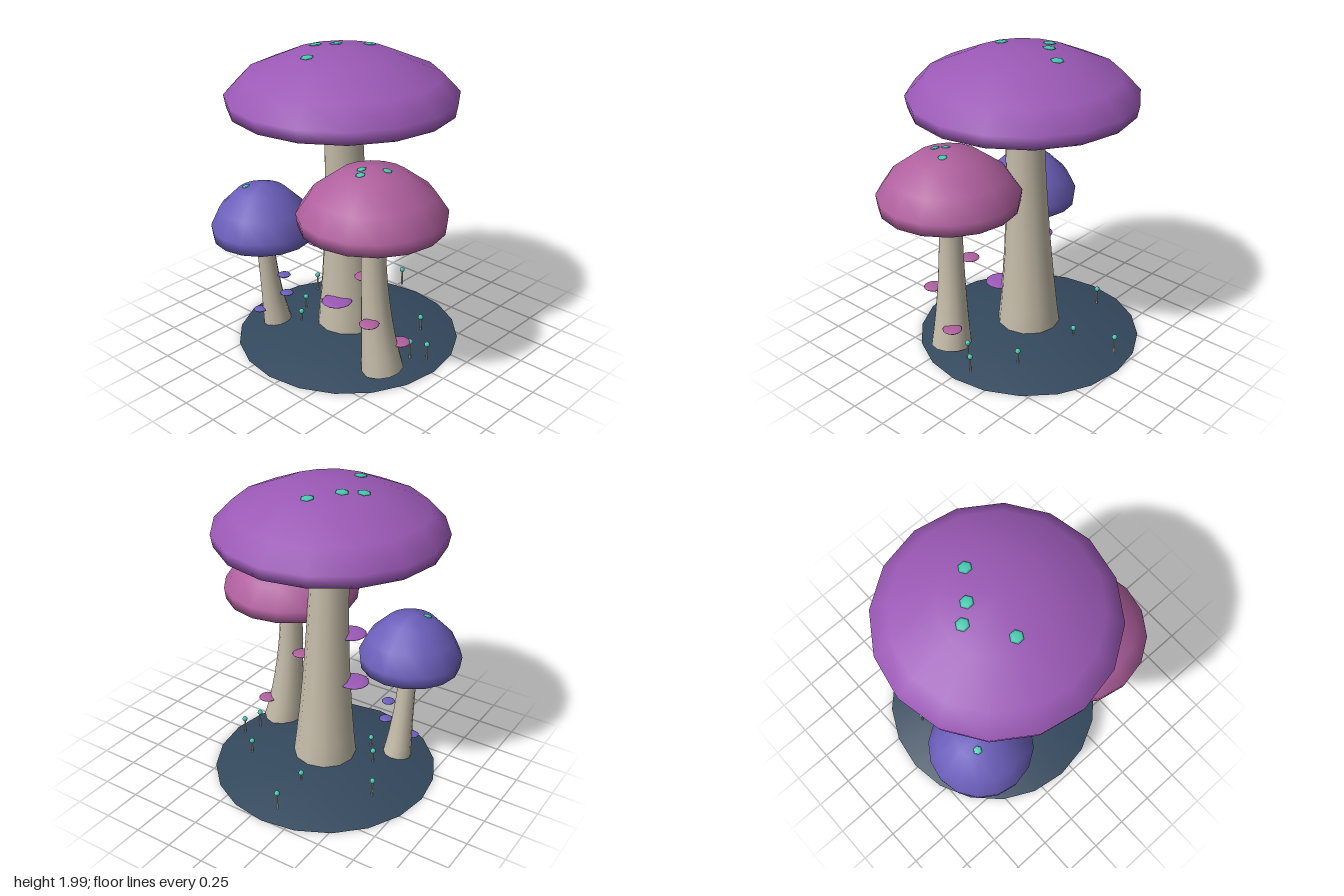
import * as THREE from 'three';
import { mergeVertices } from 'three/addons/utils/BufferGeometryUtils.js';

const mat = (name, color, side = THREE.FrontSide) => {
  const m = new THREE.MeshStandardMaterial({ color, side });
  m.name = name;
  return m;
};

// Weld seams and poles, then compute smooth normals
function smooth(geo) {
  geo.deleteAttribute('uv');
  geo.deleteAttribute('normal');
  const g = mergeVertices(geo, 1e-4);
  g.computeVertexNormals();
  return g;
}

const lathe = (pts, sides) =>
  smooth(new THREE.LatheGeometry(pts.map(([r, y]) => new THREE.Vector2(r, y)), sides));

// Open tapered tube along a gentle bend, flaring toward the base
function stemGeometry(base, bend, top, rBase, rTop) {
  const curve = new THREE.QuadraticBezierCurve3(
    new THREE.Vector3(...base), new THREE.Vector3(...bend), new THREE.Vector3(...top));
  const geo = new THREE.CylinderGeometry(1, 1, 1, 12, 8, true);
  const p = geo.attributes.position;
  for (let i = 0; i < p.count; i++) {
    const t = p.getY(i) + 0.5;
    const c = curve.getPoint(t), d = curve.getTangent(t);
    const r = rTop + (rBase - rTop) * (1 - t) ** 2;
    const ox = p.getX(i) * r, oz = p.getZ(i) * r;
    p.setXYZ(i, c.x + ox, c.y - (d.x * ox + d.z * oz) / d.y, c.z + oz);
  }
  return smooth(geo);
}

// Height and slope of a cap's upper side at a distance from its axis
function capSurface(profile, d) {
  for (let i = profile.length - 1; i > 0; i--) {
    const [r0, y0] = profile[i], [r1, y1] = profile[i - 1];
    if (d <= r1) {
      const slope = (y1 - y0) / (r1 - r0);
      return { y: y0 + slope * (d - r0), slope };
    }
  }
  return { y: profile[0][1], slope: 0 };
}

export function createModel() {
  const model = new THREE.Group();
  model.name = 'mushroomCluster';

  const stemMat = mat('stem cream', 0xc4bba8, THREE.DoubleSide);
  const groundMat = mat('ground slate', 0x34495e, THREE.DoubleSide);
  const tealMat = mat('glow teal', 0x48c9b0);

  const add = (parent, name, geo, material, x = 0, y = 0, z = 0) => {
    const m = new THREE.Mesh(geo, material);
    m.name = name;
    m.position.set(x, y, z);
    parent.add(m);
    return m;
  };

  // Shallow open ground dome
  add(model, 'ground',
    lathe([[0.74, 0], [0.53, 0.062], [0.27, 0.098], [0, 0.108]], 20), groundMat, -0.08, 0, -0.02);

  // Cap profiles run from the underside centre, around the rim, to the top
  const mushrooms = [
    {
      name: 'tallMushroom', material: mat('cap purple', 0x9b59b6), at: [-0.075, 0.03],
      profile: [[0, 1.575], [0.43, 1.605], [0.71, 1.63], [0.725, 1.71], [0.61, 1.83], [0.325, 1.953], [0, 1.993]],
      stem: [[-0.077, 0.06, -0.02], [-0.077, 0.8, -0.01], [-0.077, 1.6, 0.027], 0.213, 0.124],
      spotSize: 0.042,
      spots: [[-0.08, -0.225], [-0.21, -0.06], [-0.31, 0.02], [-0.14, 0.265]],
      shelfSize: 0.1, shelfHeight: 0.015,
      shelves: [[-0.2, 0.98, 0.09], [-0.25, 0.66, 0.05], [-0.005, 0.345, 0.17]],
    },
    {
      name: 'middleMushroom', material: mat('cap pink', 0xb0609e), at: [0.37, 0.255],
      profile: [[0, 0.99], [0.27, 1.02], [0.445, 1.045], [0.455, 1.125], [0.37, 1.25], [0.207, 1.37], [0, 1.41]],
      stem: [[0.43, 0.05, 0.22], [0.375, 0.5, 0.25], [0.372, 1.02, 0.25], 0.136, 0.076],
      spotSize: 0.03,
      spots: [[0.33, 0.31], [0.37, 0.365], [0.45, 0.22]],
      shelfSize: 0.063, shelfHeight: 0.013,
      shelves: [[0.258, 0.633, 0.2], [0.44, 0.433, 0.36], [0.505, 0.23, 0.135]],
    },
    {
      name: 'smallMushroom', material: mat('cap blue', 0x6c5fbb), at: [-0.495, 0.345],
      profile: [[0, 0.67], [0.2, 0.705], [0.325, 0.73], [0.335, 0.81], [0.275, 0.935], [0.155, 1.052], [0, 1.095]],
      stem: [[-0.477, 0.06, 0.26], [-0.49, 0.35, 0.31], [-0.495, 0.7, 0.335], 0.095, 0.058],
      spotSize: 0.028,
      spots: [[-0.572, 0.41]],
      shelfSize: 0.044, shelfHeight: 0.011,
      shelves: [[-0.39, 0.44, 0.27], [-0.38, 0.303, 0.26], [-0.53, 0.167, 0.37]],
    },
  ];

  const up = new THREE.Vector3(0, 1, 0);
  for (const s of mushrooms) {
    const g = new THREE.Group();
    g.name = s.name;
    model.add(g);
    add(g, 'cap', lathe(s.profile, 16), s.material, s.at[0], 0, s.at[1]);
    add(g, 'stem', stemGeometry(...s.stem), stemMat);

    // Bracket shelves half sunk into the stem
    for (const pos of s.shelves) {
      const geo = new THREE.SphereGeometry(1, 14, 8);
      geo.scale(s.shelfSize, s.shelfHeight, s.shelfSize);
      add(g, 'shelf', geo, s.material, ...pos);
    }

    // Flattened glowing spots lying along the cap
    for (const [x, z] of s.spots) {
      const dx = x - s.at[0], dz = z - s.at[1], d = Math.hypot(dx, dz);
      const { y, slope } = capSurface(s.profile, d);
      const normal = new THREE.Vector3(-slope * dx / d, 1, -slope * dz / d).normalize();
      const geo = new THREE.SphereGeometry(s.spotSize, 6, 4);
      geo.scale(1, 0.2, 1);
      add(g, 'spot', geo, tealMat, x, y + 0.004, z).quaternion.setFromUnitVectors(up, normal);
    }
  }

  // Tiny sprouts: thin stalk with a round glowing head
  const sprouts = [
    [-0.15, 0.19, -0.68], [-0.57, 0.175, -0.23], [0.56, 0.138, -0.07], [0.49, 0.17, 0.015],
    [0.34, 0.16, -0.28], [-0.12, 0.14, -0.37], [-0.31, 0.16, 0.195], [-0.41, 0.175, 0.05],
  ];
  for (const [x, y, z] of sprouts) {
    const g = new THREE.Group();
    g.name = 'sprout';
    g.position.set(x, y, z);
    model.add(g);
    add(g, 'sproutStalk', new THREE.CylinderGeometry(0.005, 0.007, 0.12, 6), stemMat, 0, -0.06, 0);
    add(g, 'sproutHead', new THREE.SphereGeometry(0.018, 8, 6), tealMat);
  }

  return model;
}
